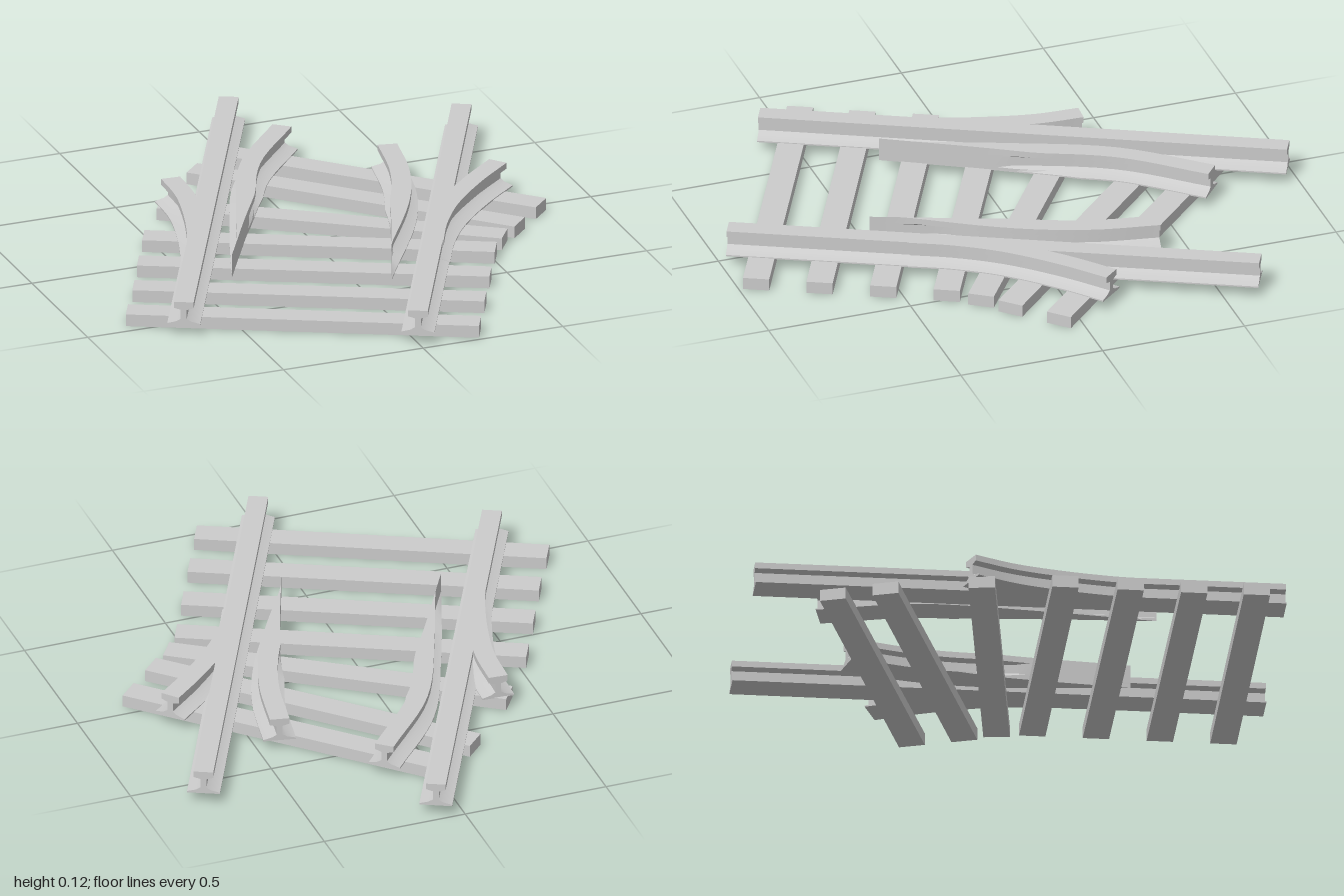
import * as THREE from 'three';
import { toCreasedNormals } from 'three/addons/utils/BufferGeometryUtils.js';

const material = new THREE.MeshStandardMaterial({ color: 0xcccccc, side: THREE.DoubleSide });

// Rail cross-section (sideways, height): flared foot, thin web, square head
const half = [[0.055, 0.04], [0.055, 0.045], [0.024, 0.053], [0.01, 0.062],
  [0.01, 0.094], [0.033, 0.101], [0.033, 0.122]];
const profile = [...half, ...half.map(([u, v]) => [-u, v]).reverse()];
const caps = THREE.ShapeUtils.triangulateShape(profile.map(([u, v]) => new THREE.Vector2(u, v)), []);

// Sweeps the section along [x, z] points. bladeSide (+1 right, -1 left) planes
// that side down to a knife edge at the start of the path.
function railGeometry(points, bladeSide = 0) {
  const curve = new THREE.CatmullRomCurve3(points.map(([x, z]) => new THREE.Vector3(x, 0, z)));
  const steps = points.length > 2 ? 20 : 1;
  const rings = [];
  for (let i = 0; i <= steps; i++) {
    const t = i / steps;
    const c = curve.getPointAt(t), d = curve.getTangentAt(t);
    const cut = Math.min(0.055, -0.054 + 0.109 * t / 0.6);
    rings.push(profile.map(([u, v]) => {
      const w = bladeSide ? bladeSide * Math.min(u * bladeSide, cut) : u;
      return [c.x - d.z * w, v, c.z + d.x * w];
    }));
  }
  const pos = [];
  const tri = (...p) => p.forEach((q) => pos.push(...q));
  const n = profile.length;
  for (let i = 0; i < steps; i++) {
    for (let j = 0; j < n; j++) {
      const k = (j + 1) % n;
      const a = rings[i][j], b = rings[i][k], c = rings[i + 1][k], d = rings[i + 1][j];
      tri(a, d, c);
      tri(a, c, b);
    }
  }
  for (const [a, b, c] of caps) {
    tri(rings[0][a], rings[0][b], rings[0][c]);
    tri(rings[steps][c], rings[steps][b], rings[steps][a]);
  }
  const geometry = new THREE.BufferGeometry();
  geometry.setAttribute('position', new THREE.Float32BufferAttribute(pos, 3));
  return toCreasedNormals(geometry, 0.35);
}

export function createModel() {
  const group = new THREE.Group();
  const add = (name, geometry) => {
    const mesh = new THREE.Mesh(geometry, material);
    mesh.name = name;
    group.add(mesh);
    return mesh;
  };

  // Straight through rails
  add('straightRailLeft', railGeometry([[-0.70, 0.608], [0.095, -0.975]]));
  add('straightRailRight', railGeometry([[-0.005, 0.965], [0.79, -0.63]]));

  // Outer rails of the two branches, merging into the straight rails
  add('outerBranchRailLeft', railGeometry(
    [[-0.47, 0.15], [-0.445, 0.09], [-0.39, -0.08], [-0.352, -0.25], [-0.343, -0.4]]));
  add('outerBranchRailRight', railGeometry(
    [[0.27, 0.42], [0.336, 0.288], [0.436, 0.14], [0.585, -0.015], [0.72, -0.13]]));

  // Inner branch rails, tapered to switch blades
  add('switchBladeLeft', railGeometry(
    [[-0.35, 0.31], [-0.20, -0.085], [-0.05, -0.42], [0.167, -0.68]], 1));
  add('switchBladeRight', railGeometry(
    [[0.043, 0.47], [0.295, 0.055], [0.387, -0.175], [0.433, -0.4]], -1));

  // Sleepers, fanning out toward the right branch: end points x1, z1, x2, z2
  const sleepers = [
    [-0.827, 0.418, 0.225, 0.947], [-0.73, 0.233, 0.32, 0.757],
    [-0.637, 0.042, 0.415, 0.566], [-0.54, -0.153, 0.51, 0.376],
    [-0.388, -0.386, 0.58, 0.28], [-0.175, -0.63, 0.663, 0.206],
    [-0.045, -0.755, 0.79, 0.08],
  ];
  sleepers.forEach(([x1, z1, x2, z2], i) => {
    const length = Math.hypot(x2 - x1, z2 - z1);
    const sleeper = add('sleeper' + (i + 1), new THREE.BoxGeometry(length, 0.042, 0.088));
    sleeper.position.set((x1 + x2) / 2, 0.021, (z1 + z2) / 2);
    sleeper.rotation.y = -Math.atan2(z2 - z1, x2 - x1);
  });
  return group;
}
